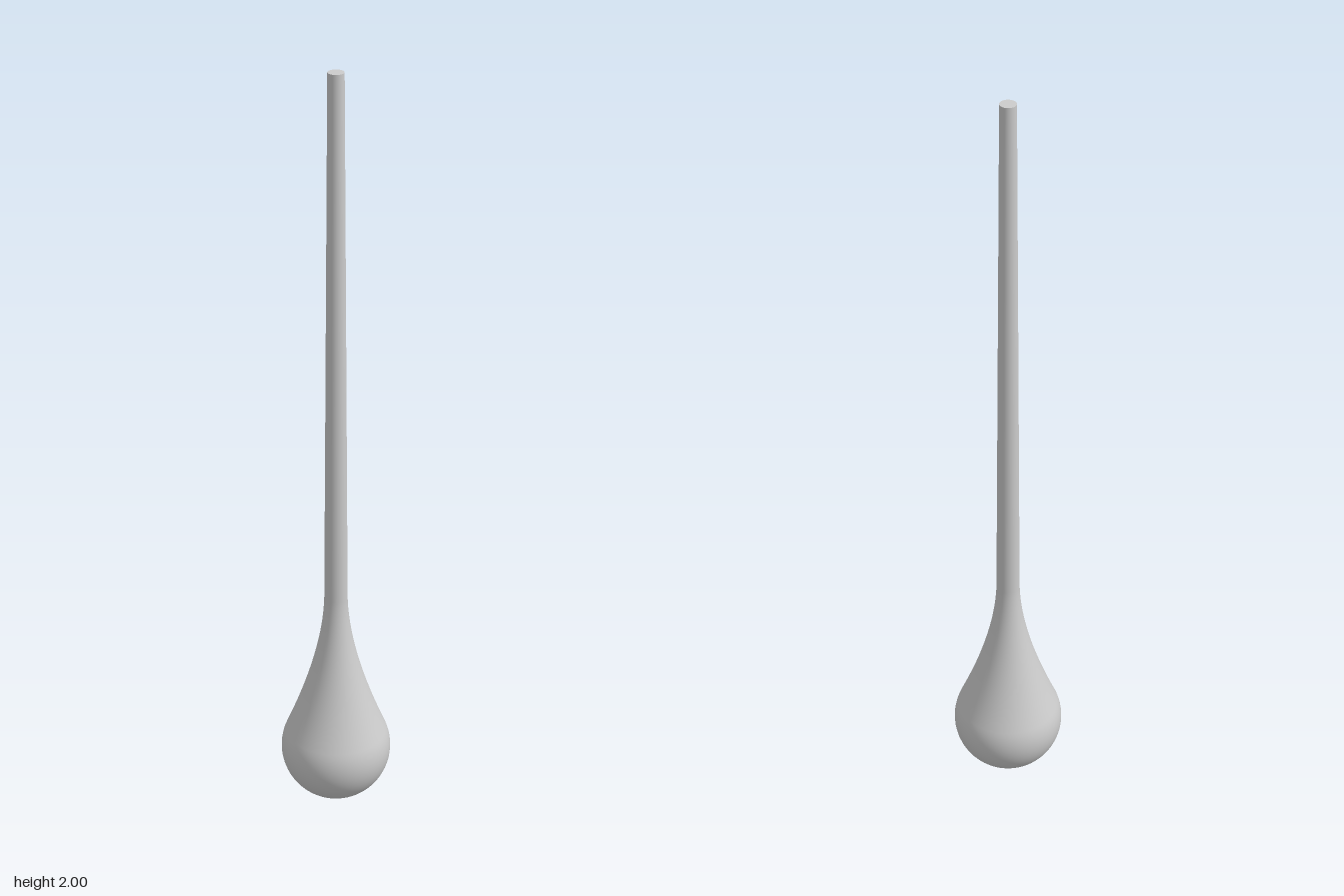
import * as THREE from 'three';

const SEGMENTS = 48;
const BULB_R = 0.144;
const TIP_R = 0.02;

export function createModel() {
  const group = new THREE.Group();
  group.name = 'droplet';
  const material = new THREE.MeshStandardMaterial({ color: 0xcccccc });

  // Round bulb, from the bottom pole to a little above its equator
  const profile = [];
  const endAngle = 0.4;
  for (let i = 0; i <= 24; i++) {
    const a = -Math.PI / 2 + (i / 24) * (Math.PI / 2 + endAngle);
    profile.push(new THREE.Vector2(Math.max(0, BULB_R * Math.cos(a)), BULB_R + BULB_R * Math.sin(a)));
  }
  profile[0].set(0, 0);

  // Shoulder sweeping tangentially from the bulb into the stem
  const shoulder = new THREE.QuadraticBezierCurve(
    profile[profile.length - 1].clone(),
    new THREE.Vector2(0.034, 0.435),
    new THREE.Vector2(0.03, 0.6),
  );
  profile.push(...shoulder.getPoints(20).slice(1));

  // Long, slightly tapering stem
  for (let i = 1; i <= 6; i++) {
    const t = i / 6;
    profile.push(new THREE.Vector2(THREE.MathUtils.lerp(0.03, TIP_R, t), THREE.MathUtils.lerp(0.6, 2, t)));
  }

  const body = new THREE.Mesh(new THREE.LatheGeometry(profile, SEGMENTS), material);
  body.name = 'bulbAndStem';
  group.add(body);

  // Flat end of the stem
  const cap = new THREE.Mesh(new THREE.CircleGeometry(TIP_R, SEGMENTS), material);
  cap.name = 'stemCap';
  cap.rotation.x = -Math.PI / 2;
  cap.position.y = 2;
  group.add(cap);

  return group;
}
